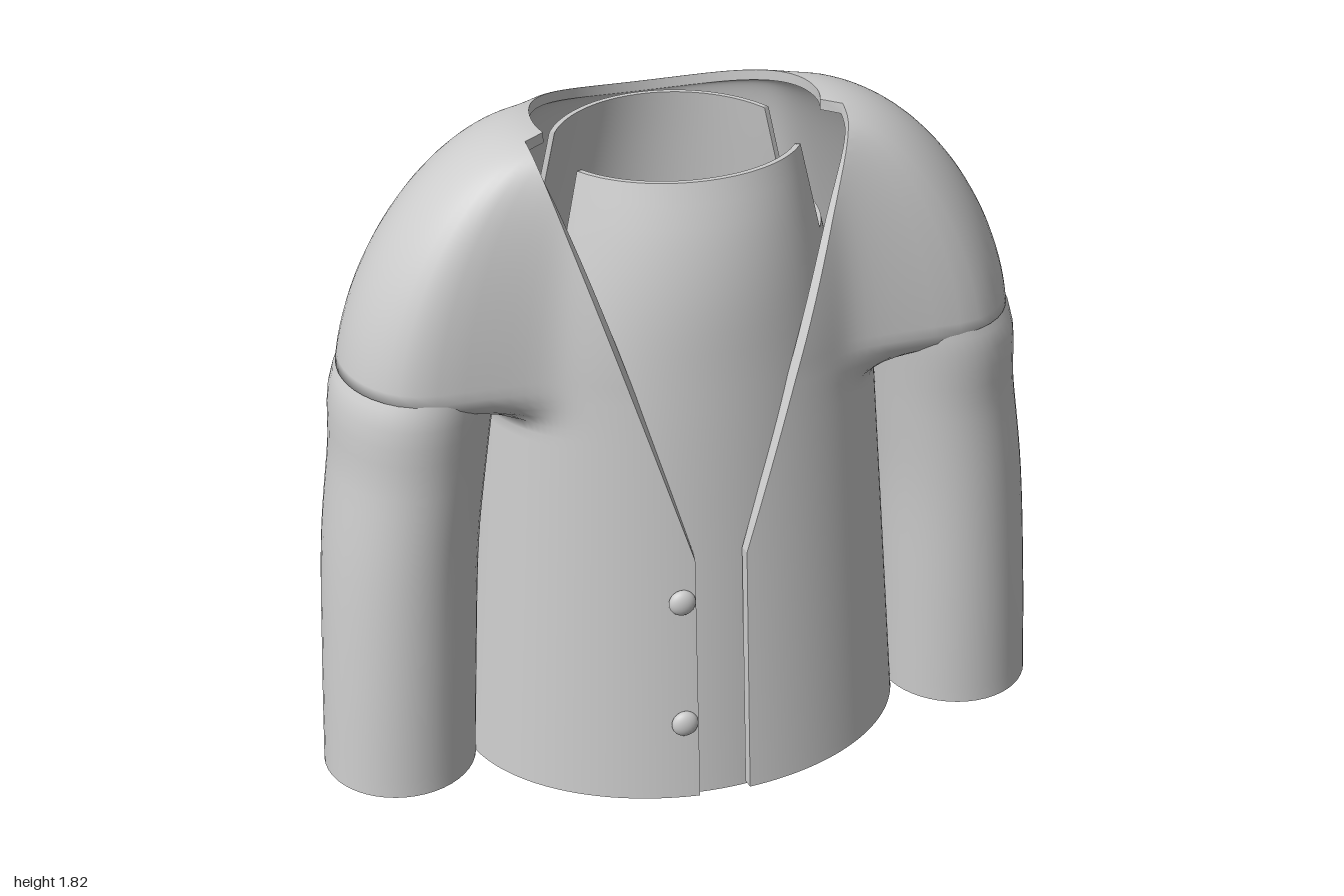
import * as THREE from 'three';
import { mergeVertices, mergeGeometries } from 'three/addons/utils/BufferGeometryUtils.js';

const { lerp, smoothstep, clamp } = THREE.MathUtils;
const HEM = 0.03, ARM = 1.2; // jacket hem height, height where sleeves join the yoke

// Smooth lookup in a short table of rows [y, ...values]
function table(rows) {
  const n = rows[0].length - 1;
  const curve = new THREE.CubicInterpolant(rows.map(r => r[0]), rows.flatMap(r => r.slice(1)), n);
  return y => Array.from(curve.evaluate(clamp(y, rows[0][0], rows.at(-1)[0])));
}

// Grid of points turned into a smooth sheet
function sheet(point, nu, nv, flip) {
  const pos = [], idx = [];
  for (let i = 0; i <= nu; i++) for (let j = 0; j <= nv; j++) pos.push(...point(i, j));
  for (let i = 0; i < nu; i++) for (let j = 0; j < nv; j++) {
    const a = i * (nv + 1) + j, b = a + nv + 1;
    if (flip) idx.push(a, a + 1, b, b, a + 1, b + 1);
    else idx.push(a, b, a + 1, b, b + 1, a + 1);
  }
  let g = new THREE.BufferGeometry();
  g.setAttribute('position', new THREE.Float32BufferAttribute(pos, 3));
  g.setIndex(idx);
  g = mergeVertices(g, 1e-5);
  g.computeVertexNormals();
  return g;
}

// Cloth with thickness: outer and inner sheets joined by rims
function shell(point, nu, nv, closed) {
  const rim = (edge, n, flip) => sheet((i, j) => point(...edge(i), j), n, 1, flip);
  const parts = [
    sheet((i, j) => point(i, j, 0), nu, nv, false),
    sheet((i, j) => point(i, j, 1), nu, nv, true),
    rim(i => [i, 0], nu, true),
    rim(i => [i, nv], nu, false),
  ];
  if (!closed) parts.push(rim(j => [0, j], nv, false), rim(j => [nu, j], nv, true));
  return mergeGeometries(parts);
}

// Distance from the centre to an ellipse, along direction (s, c)
const ellipseRay = (s, c, a, b) => 1 / Math.hypot(s / a, c / b);

// Torso plan: half width, front depth, back depth
const torso = y => {
  const t = (y - HEM) / (ARM - HEM);
  return [lerp(0.61, 0.52, t), lerp(0.47, 0.38, t), lerp(0.47, 0.42, t)];
};

// Sleeve sections: y, centre x, half width, centre z, half depth
const sleeveAt = table([
  [0.03, 0.795, 0.205, 0.05, 0.21], [0.35, 0.78, 0.205, 0.035, 0.225],
  [0.7, 0.757, 0.205, 0.012, 0.245], [0.95, 0.725, 0.205, 0.002, 0.252],
  [1.2, 0.69, 0.205, 0, 0.255], [1.23, 0.675, 0.195, 0, 0.245],
]);

// Plan of both sleeves joined across the chest
function sleeveRay(s, c) {
  const [cx, hw, , hd] = sleeveAt(ARM);
  const flat = hd / Math.max(Math.abs(c), 1e-6);
  if (flat * s < cx) return flat;
  const A = (s / hw) ** 2 + (c / hd) ** 2, B = s * cx / hw ** 2, C = (cx / hw) ** 2 - 1;
  return (B + Math.sqrt(Math.max(B * B - A * C, 0))) / A;
}

// Jacket surface: w runs from front edge (0) to back (1); p 0..1 is the torso, 1..2 the shoulders
function jacketPoint(w, p, inner) {
  const low = p <= 1;
  const yLow = lerp(HEM, ARM, Math.min(p, 1));
  const [a, zf, zb] = torso(yLow);
  const edge = Math.atan(0.07 / zf);
  const ang = lerp(edge, Math.PI, w);
  const s = Math.sin(ang), c = Math.cos(ang), thick = inner ? 0.028 : 0;
  const body = ellipseRay(s, c, a, c > 0 ? zf : zb);
  const full = (body ** 16 + sleeveRay(s, c) ** 16) ** (1 / 16);
  let r = lerp(body, full, smoothstep(yLow, 1.08, ARM)), y = yLow;
  if (low) r -= thick;
  else {
    const f = (p - 1) * Math.PI / 2;
    const neck = ellipseRay(s, c, 0.37, c > 0 ? 0.25 : 0.36);
    const top = 1.82 - 0.085 * c * c;
    r = neck + (full - neck) * (Math.cos(f) - 0.08 * Math.sin(2 * f)) - thick * Math.cos(f);
    y = ARM + (top - ARM) * Math.sin(f) - thick * Math.sin(f);
  }
  return [r * s, y, r * c];
}

// Where a column meets the V neckline
function columnEnd(w) {
  if (w * 171 + 9 > 78) return 2;
  const inside = p => {
    const [x, y] = jacketPoint(w, p);
    return x + 0.002 < 0.07 + 0.33 * Math.max(0, (y - 0.73) / 1.04);
  };
  if (!inside(2)) return 2;
  let lo = (0.73 - HEM) / (ARM - HEM), hi = 2;
  for (let k = 0; k < 30; k++) {
    const mid = (lo + hi) / 2;
    if (inside(mid)) hi = mid; else lo = mid;
  }
  return lo;
}

function jacketGeometry() {
  const nu = 160, low = 44, high = 34;
  const ends = Array.from({ length: nu + 1 }, (_, i) => columnEnd(1 - Math.abs(1 - 2 * i / nu)));
  return shell((i, j, inner) => {
    const u = 1 - 2 * i / nu;
    const p = Math.min(j <= low ? j / low : 1 + (j - low) / high, ends[i]);
    const [x, y, z] = jacketPoint(1 - Math.abs(u), p, inner);
    return [u < 0 ? -x : x, y, z];
  }, nu, low + high, false);
}

function sleeveGeometry(side) {
  const nu = 48, nv = 24;
  return shell((i, j, inner) => {
    const y = lerp(HEM, 1.23, j / nv), a = (i % nu) / nu * Math.PI * 2, t = inner ? 0.025 : 0;
    const [cx, hw, cz, hd] = sleeveAt(y);
    return [side * cx + (hw - t) * Math.sin(a), y, cz + (hd - t) * Math.cos(a)];
  }, nu, nv, true);
}

// Undershirt sections: y, half width, front depth, back depth
const shirtAt = table([
  [0, 0.53, 0.415, 0.415], [0.7, 0.49, 0.385, 0.395], [1.2, 0.44, 0.362, 0.375],
  [1.45, 0.385, 0.343, 0.362], [1.6, 0.35, 0.31, 0.35], [1.73, 0.325, 0.262, 0.335],
]);

function shirtGeometry() {
  const nu = 160, nv = 32;
  return shell((i, j, inner) => {
    const a = (i % nu) / nu * Math.PI * 2, s = Math.sin(a), c = Math.cos(a), t = inner ? 0.014 : 0;
    const top = Math.abs(s) > 0.9 ? 1.5 : c > 0 ? 1.73 : 1.715; // cut-away arm openings
    const y = Math.min(lerp(0.04 * s ** 4, 1.73, j / nv), top);
    const [hw, zf, zb] = shirtAt(y);
    return [(hw - t) * s, y, ((c > 0 ? zf : zb) - t) * c];
  }, nu, nv, true);
}

export function createModel() {
  const model = new THREE.Group();
  model.name = 'cardigan';
  const cloth = new THREE.MeshStandardMaterial({ color: 0xcccccc, side: THREE.DoubleSide });
  cloth.name = 'light grey cloth';
  const add = (name, geometry) => {
    const mesh = new THREE.Mesh(geometry, cloth);
    mesh.name = name;
    model.add(mesh);
    return mesh;
  };

  add('jacketBody', jacketGeometry());
  add('leftSleeve', sleeveGeometry(1));
  add('rightSleeve', sleeveGeometry(-1));
  add('undershirt', shirtGeometry());

  // Buttons on the right front edge
  for (const y of [0.62, 0.26]) {
    const button = add('button', new THREE.SphereGeometry(0.036, 24, 16));
    button.scale.z = 0.6;
    button.position.set(-0.107, y, torso(y)[1] * 0.985 + 0.006);
  }
  return model;
}
